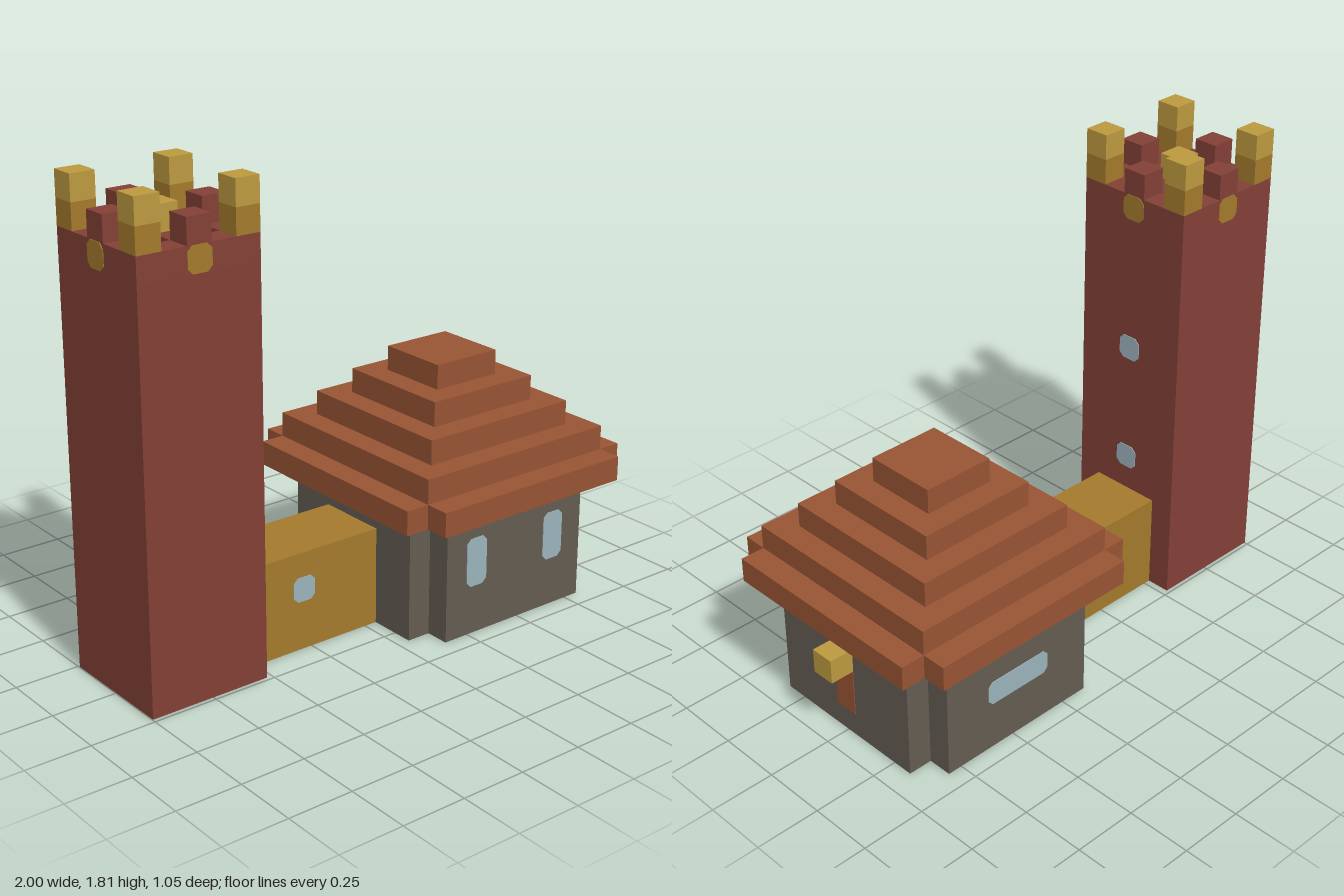
import * as THREE from 'three';

const U = 2 / 21; // one block

const mat = (name, color) => {
  const m = new THREE.MeshStandardMaterial({ color });
  m.name = name;
  return m;
};

export function createModel() {
  const model = new THREE.Group();
  const brick = mat('red brick', 0x824036);
  const gold = mat('dark gold', 0xa47a2c);
  const lightGold = mat('light gold', 0xbc9a3f);
  const tile = mat('roof tile', 0x985434);
  const stone = mat('grey stone', 0x635c51);
  const glass = mat('pale glass', 0x9bb3bb);
  const blue = mat('blue', 0x3358b4);

  const add = (name, geometry, material, parent = model) => {
    const m = new THREE.Mesh(geometry, material);
    m.name = name;
    parent.add(m);
    return m;
  };
  const group = (name) => {
    const g = new THREE.Group();
    g.name = name;
    model.add(g);
    return g;
  };

  // Box in block units: x from the left end, y from the ground, z from the middle
  const box = (name, material, x, y, z, w, h, d, parent) => {
    const m = add(name, new THREE.BoxGeometry(w * U, h * U, d * U), material, parent);
    m.position.set(x * U - 1, (y + h / 2) * U, z * U);
    return m;
  };

  // Upright extrusion of a plan outline, in block units
  const slab = (name, material, shape, x, y, h, parent) => {
    const g = new THREE.ExtrudeGeometry(shape, { depth: h, bevelEnabled: false });
    g.rotateX(-Math.PI / 2).scale(U, U, U);
    add(name, g, material, parent).position.set(x * U - 1, y * U, 0);
  };
  const polygon = (pts) => new THREE.Shape(pts.map(([x, y]) => new THREE.Vector2(x, y)));

  // Square plan with one block cut from each corner
  const notched = (r) => polygon([
    [r, 1 - r], [r, r - 1], [r - 1, r - 1], [r - 1, r], [1 - r, r], [1 - r, r - 1],
    [-r, r - 1], [-r, 1 - r], [1 - r, 1 - r], [1 - r, -r], [r - 1, -r], [r - 1, 1 - r]]);

  // Thin plate with clipped corners, centred at x, y, z and turned to its wall
  const plate = (name, material, x, y, z, w, h, turn, parent, tilt = 0) => {
    const a = w / 2, b = h / 2, c = 0.2;
    const g = new THREE.ExtrudeGeometry(polygon([
      [a - c, -b], [a, c - b], [a, b - c], [a - c, b],
      [c - a, b], [-a, b - c], [-a, c - b], [c - a, -b]]), { depth: 0.03, bevelEnabled: false });
    const m = add(name, g.scale(U, U, U), material, parent);
    m.position.set(x * U - 1, y * U, z * U);
    m.rotation.set(tilt, turn, 0);
  };

  // Tower shaft, with four shallow pits in the top layer
  const tower = group('tower');
  box('towerShaft', brick, 2.5, 0, 0, 5, 16, 5, tower);
  const top = polygon([[-2.5, -2.5], [2.5, -2.5], [2.5, 2.5], [-2.5, 2.5]]);
  for (const sx of [-1, 1]) for (const sz of [-1, 1]) {
    const hole = new THREE.Path();
    hole.moveTo(sx - 0.5, sz - 0.5);
    hole.lineTo(sx - 0.5, sz + 0.5);
    hole.lineTo(sx + 0.5, sz + 0.5);
    hole.lineTo(sx + 0.5, sz - 0.5);
    hole.closePath();
    top.holes.push(hole);
    box('pitFloor', sx < 0 ? blue : gold, 2.5 + sx, 16, sz, 1, 0.04, 1, tower);
    // Corner pinnacles
    box('pinnacleBase', gold, 2.5 + 2 * sx, 17, 2 * sz, 1, 1, 1, tower);
    box('pinnacleTop', lightGold, 2.5 + 2 * sx, 18, 2 * sz, 1, 1, 1, tower);
    // Underside spots
    plate('underSpot', sx < 0 && sz > 0 ? stone : gold, 2.5 + sx, 0, sz, 1, 1, 0, tower, Math.PI / 2);
  }
  plate('underSpot', gold, 2.5, 0, 0, 1, 1, 0, tower, Math.PI / 2);
  slab('towerTop', brick, top, 2.5, 16, 1, tower);
  box('centreBlock', lightGold, 2.5, 17, 0, 1, 1, 1, tower);

  // Merlon and gold patch in the middle of each side
  for (let i = 0; i < 4; i++) {
    const a = i * Math.PI / 2, s = Math.sin(a), c = Math.cos(a);
    box('merlon', brick, 2.5 + 2 * s, 17, 2 * c, 1, 1, 1, tower);
    plate('merlonPatch', gold, 2.5 + 2.5 * s, 16.5, 2.5 * c, 1, 1, a, tower);
  }
  for (const y of [5.5, 10.5]) plate('towerWindow', glass, 5, y, 0, 1, 1, Math.PI / 2, tower);

  // Passage between tower and house
  const passage = group('passage');
  box('passageWalls', gold, 8, 0, 0, 6, 4, 3, passage);
  for (const s of [1, -1])
    plate('passageWindow', glass, 7.5, 2.5, 1.5 * s, 1, 1, s > 0 ? 0 : Math.PI, passage);

  // House
  const house = group('house');
  slab('houseWalls', stone, notched(4.5), 15.5, 0, 5, house);
  box('houseFloor', tile, 15.5, -0.02, 0, 7, 0.04, 7, house);
  for (const x of [13.5, 17.5]) plate('frontWindow', glass, x, 3, 4.5, 1, 2, 0, house);
  plate('backWindow', glass, 15.5, 2.5, -4.5, 3, 1, Math.PI, house);
  box('door', tile, 20, 1, 0, 0.06, 2, 1, house);
  box('doorLamp', lightGold, 20.5, 3, 0, 1, 1, 1, house);

  // Stepped roof
  const roof = group('roof');
  slab('eaves', tile, notched(5.5), 15.5, 5, 1, roof);
  for (let i = 0; i < 4; i++)
    box('roofStep', tile, 15.5, 6 + i, 0, 9 - 2 * i, 1, 9 - 2 * i, roof);

  return model;
}
